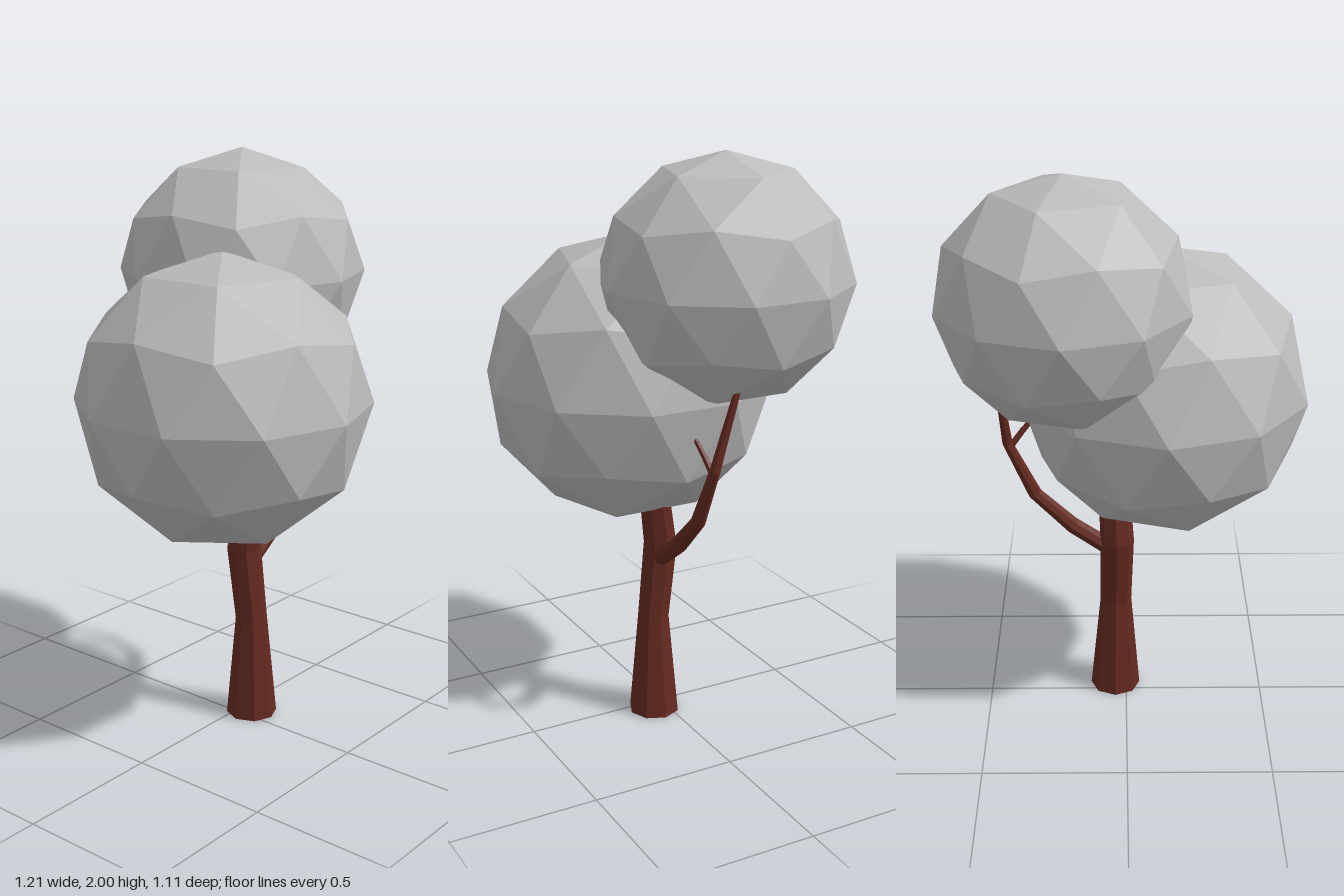
import * as THREE from 'three';

const bark = new THREE.MeshStandardMaterial({ color: 0x642a20 });
bark.name = 'bark brown';
const leaf = new THREE.MeshStandardMaterial({ color: 0xbcbcbc });
leaf.name = 'foliage grey';

// Faceted mesh: every face gets its own flat normal
function facetedMesh(name, geometry, material) {
  const flat = geometry.index ? geometry.toNonIndexed() : geometry;
  flat.computeVertexNormals();
  const mesh = new THREE.Mesh(flat, material);
  mesh.name = name;
  return mesh;
}

// Tapered limb through [x, y, z, radius] stations; rings are level or follow the path
function limb(name, stations, sides, level = false) {
  const n = stations.length - 1;
  const centres = stations.map(([x, y, z]) => new THREE.Vector3(x, y, z));
  const up = new THREE.Vector3(0, 1, 0);
  const turns = centres.map((c, i) => {
    const q = new THREE.Quaternion();
    if (level) return q;
    const dir = centres[Math.min(i + 1, n)].clone().sub(centres[Math.max(i - 1, 0)]);
    return q.setFromUnitVectors(up, dir.normalize());
  });
  const geometry = new THREE.CylinderGeometry(1, 1, 1, sides, n);
  const pos = geometry.attributes.position;
  const v = new THREE.Vector3();
  for (let k = 0; k < pos.count; k++) {
    v.fromBufferAttribute(pos, k);
    const i = Math.round((v.y + 0.5) * n);
    v.setY(0).multiplyScalar(stations[i][3]).applyQuaternion(turns[i]).add(centres[i]);
    pos.setXYZ(k, v.x, v.y, v.z);
  }
  return facetedMesh(name, geometry, bark);
}

// Icosphere standing on a pole: two poles and two staggered rings of five
function crown(name, radius, height, x, y, z) {
  const verts = [0, 1, 0];
  const faces = [];
  const ring = (h, start) => {
    for (let i = 0; i < 5; i++) {
      const a = start + (i * Math.PI * 2) / 5;
      verts.push(Math.cos(a) * 0.8944, h, -Math.sin(a) * 0.8944);
    }
  };
  ring(0.4472, 0);
  ring(-0.4472, Math.PI / 5);
  verts.push(0, -1, 0);
  for (let i = 0; i < 5; i++) {
    const j = (i + 1) % 5;
    const [u, un, l, ln] = [1 + i, 1 + j, 6 + i, 6 + j];
    faces.push(0, u, un, u, l, un, un, l, ln, l, 11, ln);
  }
  const geometry = new THREE.PolyhedronGeometry(verts, faces, radius, 1);
  geometry.scale(1, height / radius, 1);
  const mesh = facetedMesh(name, geometry, leaf);
  mesh.position.set(x, y, z);
  return mesh;
}

export function createModel() {
  const tree = new THREE.Group();
  tree.name = 'tree';
  tree.add(
    limb('trunk', [
      [0.04, 0, 0.045, 0.09],
      [0.037, 0.37, 0.045, 0.056],
      [0.032, 0.63, 0.015, 0.06],
      [0.04, 0.78, 0.037, 0.056],
      [0.04, 0.88, 0.05, 0.05],
    ], 8, true),
    limb('branch', [
      [0.045, 0.58, 0.03, 0.032],
      [0.19, 0.68, 0.032, 0.03],
      [0.32, 0.81, 0.028, 0.025],
      [0.41, 1.01, 0.02, 0.018],
      [0.43, 1.25, -0.04, 0.012],
      [0.43, 1.3, -0.053, 0.01],
    ], 8),
    limb('twig', [
      [0.405, 0.99, 0.02, 0.012],
      [0.36, 1.05, 0.03, 0.011],
      [0.3, 1.12, 0.045, 0.008],
    ], 6),
    crown('lowerCrown', 0.5, 0.5, -0.13, 1.205, 0.055),
    crown('upperCrown', 0.427, 0.417, 0.2, 1.583, -0.132),
  );
  return tree;
}
